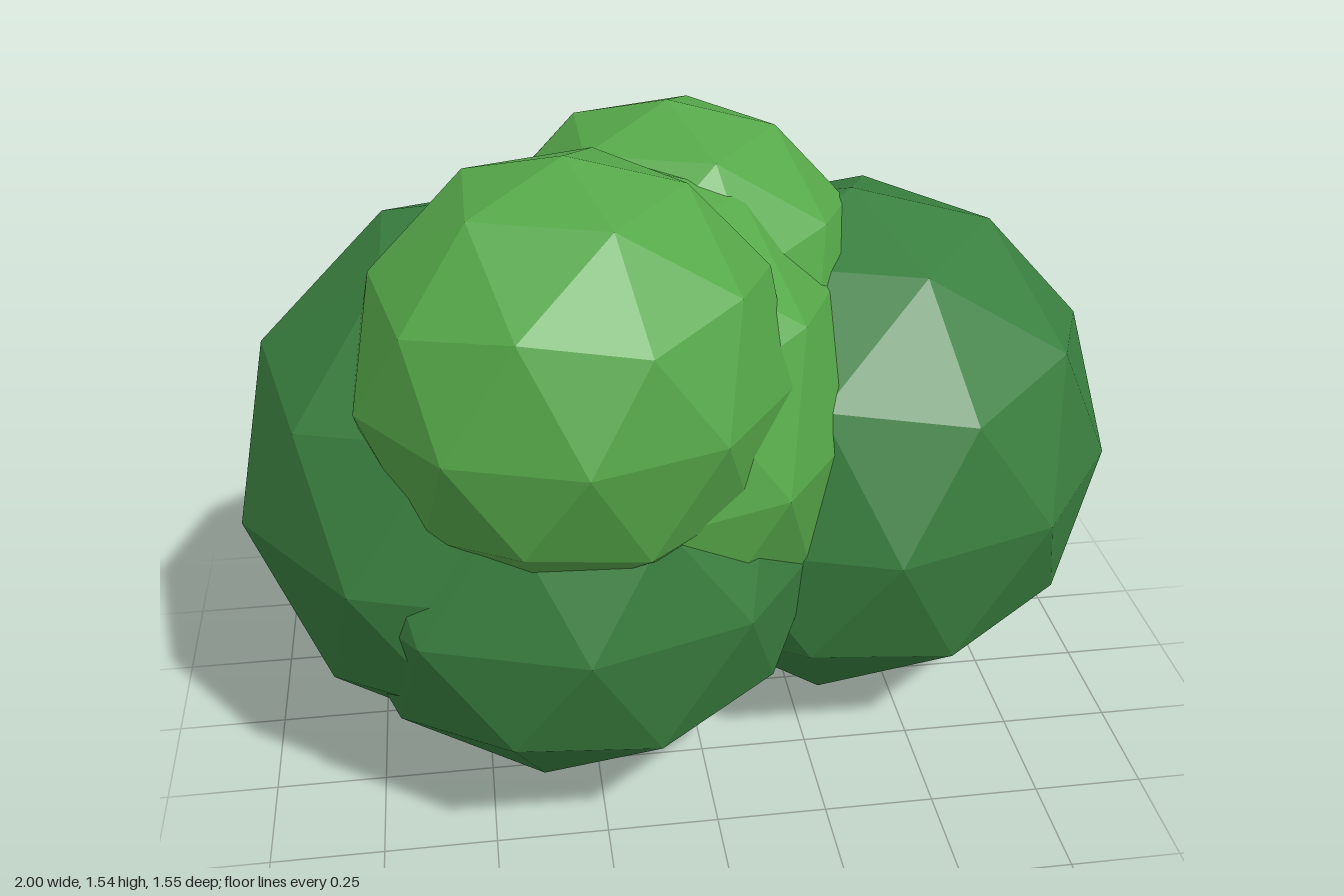
import * as THREE from 'three';

// Faceted ball with one corner straight up and an upper-ring corner towards +x
function ballGeometry(radius) {
  const geometry = new THREE.IcosahedronGeometry(radius, 1);
  geometry.rotateZ(-Math.atan(2 / (1 + Math.sqrt(5))));
  return geometry;
}

export function createModel() {
  const group = new THREE.Group();
  group.name = 'bush';

  const darkLeaves = new THREE.MeshStandardMaterial({ color: 0x3a8040, flatShading: true });
  const lightLeaves = new THREE.MeshStandardMaterial({ color: 0x56a84a, flatShading: true });

  // name, material, radius, centre
  const clumps = [
    ['leftLowerFoliage', darkLeaves, 0.63, [0.4, 0.633, -0.15]],
    ['rightLowerFoliage', darkLeaves, 0.64, [-0.39, 0.71, 0.02]],
    ['frontLowerFoliage', darkLeaves, 0.58, [-0.29, 0.62, 0.14]],
    ['middleFoliage', lightLeaves, 0.575, [-0.205, 0.875, 0.095]],
    ['frontUpperFoliage', lightLeaves, 0.46, [-0.285, 1.08, 0.31]],
    ['backUpperFoliage', lightLeaves, 0.46, [-0.025, 1.03, -0.15]],
  ];

  for (const [name, material, radius, centre] of clumps) {
    const mesh = new THREE.Mesh(ballGeometry(radius), material);
    mesh.name = name;
    mesh.position.set(...centre);
    group.add(mesh);
  }
  return group;
}
